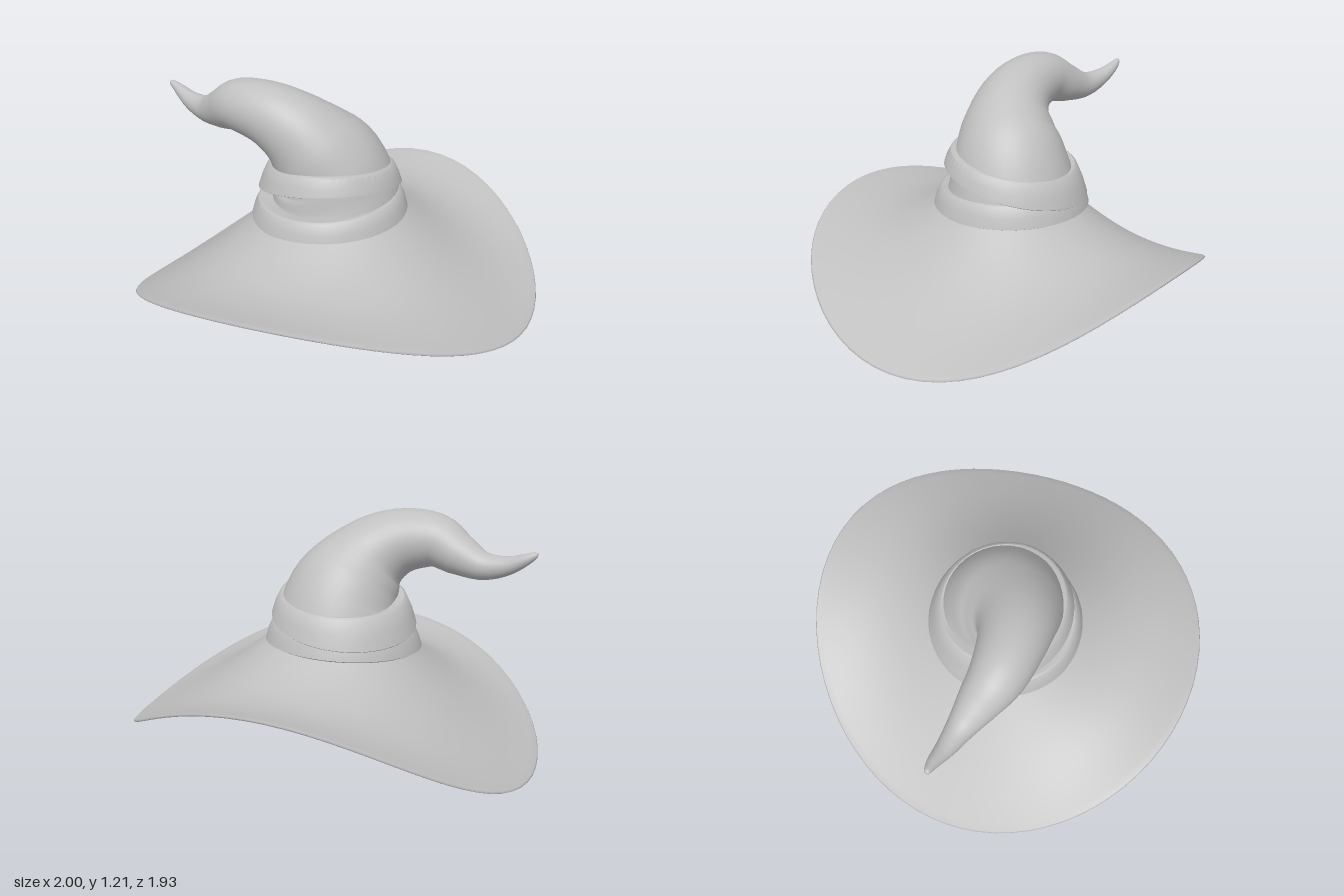
import * as THREE from 'three';
import { toCreasedNormals } from 'three/addons/utils/BufferGeometryUtils.js';

const felt = new THREE.MeshStandardMaterial({ color: 0xc0c0c0 });
felt.name = 'grey felt';

// Grid surface: u runs along the profile, v wraps around
function surface(nu, nv, f) {
  const pos = [], idx = [];
  for (let i = 0; i <= nu; i++)
    for (let j = 0; j < nv; j++) pos.push(...f(i, (j / nv) * Math.PI * 2));
  for (let i = 0; i < nu; i++)
    for (let j = 0; j < nv; j++) {
      const k = (j + 1) % nv;
      const a = i * nv + j, b = a + nv, c = (i + 1) * nv + k, d = i * nv + k;
      idx.push(a, b, d, b, c, d);
    }
  const g = new THREE.BufferGeometry();
  g.setAttribute('position', new THREE.Float32BufferAttribute(pos, 3));
  g.setIndex(idx);
  g.computeVertexNormals();
  return g;
}

function part(name, geometry) {
  const m = new THREE.Mesh(geometry, felt);
  m.name = name;
  return m;
}

// Saddle-shaped height of the brim at radius r and angle p
function brimHeight(r, p) {
  const q = p - 0.47;
  const rim = 0.278 - 0.2 * Math.cos(2 * q) + 0.07 * Math.cos(q) + 0.025 * Math.sin(3 * q);
  const s = Math.max(0, (r - 0.31) / 0.69);
  const dip = 0.06 - 0.03 * Math.cos(2 * q);
  return 0.605 + (rim - 0.605) * s - dip * Math.sin(Math.PI * Math.pow(s, 0.95));
}

// Brim: underside from the centre out, round the rim, back in over the top
function brim() {
  const rows = [];
  for (let i = 0; i <= 24; i++) rows.push([i / 24 * 0.995, -0.012]);
  rows.push([1, -0.006]);
  for (let i = 0; i <= 20; i++) rows.push([0.995 - i / 20 * 0.685, 0]);
  return surface(rows.length - 1, 72, (i, p) => {
    const [r, dy] = rows[i];
    let y = brimHeight(r, p) + dy;
    if (i <= 24 && r < 0.7) {
      // shallow dome under the crown, blended softly into the brim
      const cap = 0.54 - 0.35 * r * r, gap = y - cap;
      const soft = 0.04 * Math.min(1, (0.7 - r) / 0.3);
      const blend = (y + cap - Math.hypot(gap, soft)) / 2;
      y += (blend - y) * Math.min(1, (0.7 - r) / 0.2);
    }
    return [r * Math.cos(p), y, r * 0.967 * Math.sin(p)];
  });
}

// Crown: round sections swept along a bent spine to the curled tip [x, y, z, radius]
function crown() {
  const spine = [
    [0, 0.56, -0.02, 0.335], [-0.01, 0.68, -0.015, 0.305], [-0.04, 0.795, 0, 0.274],
    [-0.112, 0.9, 0.02, 0.232], [-0.2, 0.988, 0.02, 0.186], [-0.315, 1.047, -0.015, 0.155],
    [-0.455, 1.06, -0.09, 0.13], [-0.55, 1.01, -0.18, 0.1], [-0.64, 0.972, -0.265, 0.068],
    [-0.73, 0.985, -0.34, 0.046], [-0.8, 1.025, -0.4, 0.028], [-0.84, 1.053, -0.425, 0.014],
    [-0.847, 1.06, -0.43, 0.001]];
  const path = new THREE.CatmullRomCurve3(spine.map(s => new THREE.Vector3(s[0], s[1], s[2])));
  const size = new THREE.CatmullRomCurve3(
    spine.map(s => new THREE.Vector3(s[3], 0, 0)), false, 'catmullrom');
  const n = 48, frames = [];
  for (let i = 0; i <= n; i++) {
    const t = path.getTangent(i / n);
    const e1 = new THREE.Vector3(0.5, 0, -0.86);
    e1.addScaledVector(t, -e1.dot(t)).normalize();
    const e2 = e1.clone().cross(t);
    frames.push({ c: path.getPoint(i / n), r: Math.max(0.001, size.getPoint(i / n).x), e1, e2 });
  }
  return surface(n, 40, (i, p) => {
    const { c, r, e1, e2 } = frames[i];
    return c.clone().addScaledVector(e1, r * Math.cos(p))
      .addScaledVector(e2, r * Math.sin(p)).toArray();
  });
}

// Wrapped band: profile of [height fraction, radial offset] between two slanted edges
function band(bottom, top, puff) {
  const profile = [[0.08, -0.08], [0, -0.004], [0.07, 0.012], [0.5, 0.012], [0.93, 0.004], [1, -0.006], [0.94, -0.08]];
  const g = surface(profile.length - 1, 56, (i, p) => {
    const [h, d] = profile[i];
    const y = bottom(p) + (top(p) - bottom(p)) * h;
    const r = 0.368 - (y - 0.56) * 0.28 + d + puff * (1 - h);
    return [-0.026 + r * Math.cos(p), y, -0.012 + r * Math.sin(p)];
  });
  return toCreasedNormals(g, 0.6);
}

export function createModel() {
  const hat = new THREE.Group();
  hat.name = 'pointedHat';
  hat.add(
    part('brim', brim()),
    part('crown', crown()),
    part('lowerBand', band(
      p => 0.552 + 0.02 * Math.cos(p) - 0.01 * Math.sin(p),
      p => 0.66 + 0.025 * Math.cos(p) - 0.012 * Math.sin(p), 0)),
    part('upperBand', band(
      p => 0.682 + 0.078 * Math.sin(p) + 0.015 * Math.cos(p),
      p => 0.805 + 0.045 * Math.sin(p), 0.005)));
  // Rest the lowest point of the brim on the ground
  const low = new THREE.Box3().setFromObject(hat).min.y;
  hat.children.forEach(m => m.geometry.translate(0, -low, 0));
  return hat;
}
